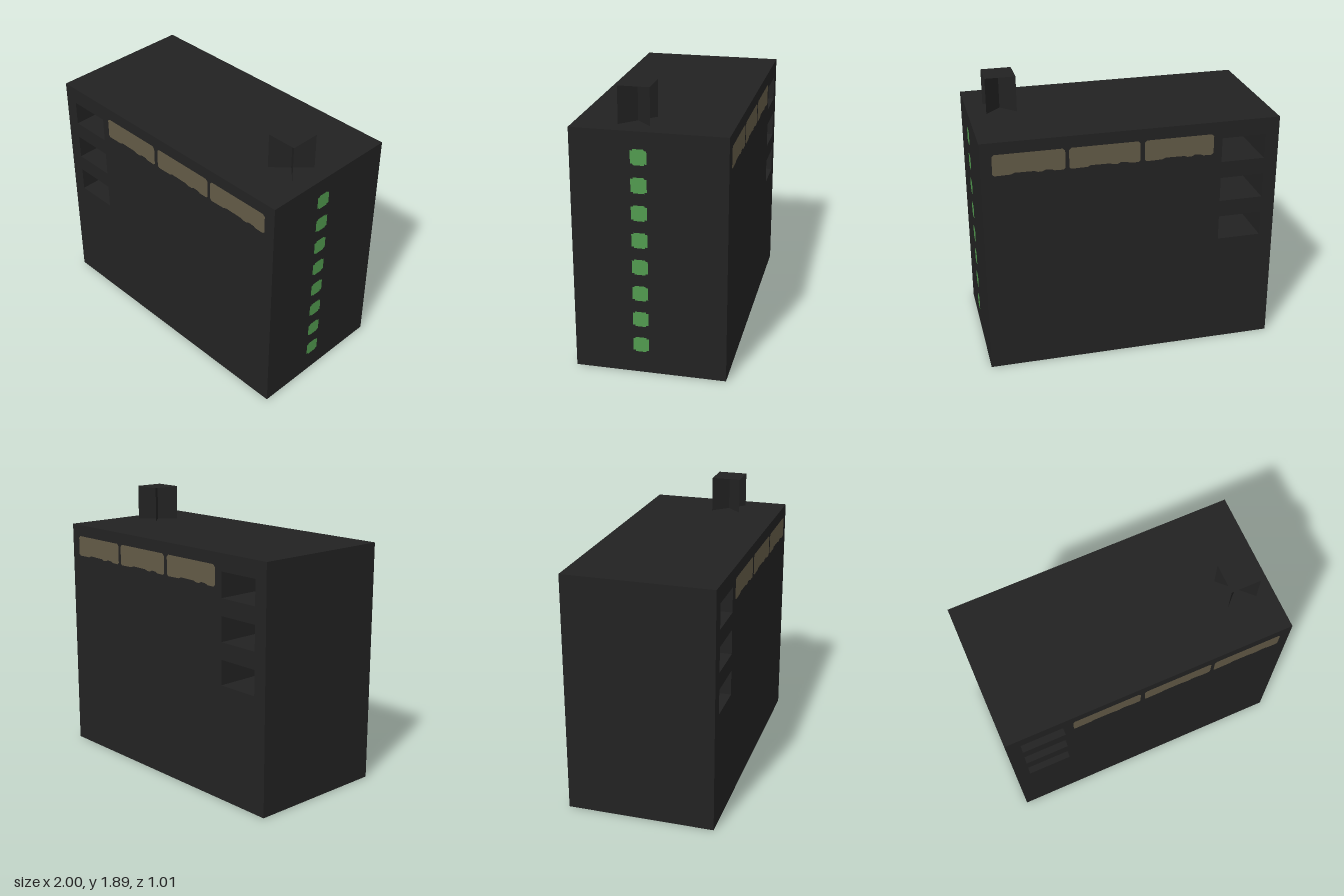
import * as THREE from 'three';

const mat = (name, color) => new THREE.MeshStandardMaterial({ name, color, side: THREE.DoubleSide });

export function createModel() {
  const model = new THREE.Group();
  model.name = 'building';
  const wall = mat('charcoal', 0x222222);
  const glass = mat('dimWindow', 0x625a46);
  const green = mat('greenLight', 0x519a4f);

  const X0 = -1, X1 = 0.996, H = 1.65, Z = 0.502;
  const W = X1 - X0, CX = (X0 + X1) / 2;

  const add = (name, geo, material, parent, x, y, z, rx = 0, ry = 0) => {
    const m = new THREE.Mesh(geo, material);
    m.name = name;
    m.position.set(x, y, z);
    m.rotation.set(rx, ry, 0);
    parent.add(m);
    return m;
  };
  const plane = (name, parent, w, h, ...place) =>
    add(name, new THREE.PlaneGeometry(w, h), wall, parent, ...place);
  const shapeOf = pts => new THREE.Shape(pts.map(p => new THREE.Vector2(...p)));
  const rect = (x0, x1, y0, y1) => [[x0, y0], [x1, y0], [x1, y1], [x0, y1]];

  // Shell, open underneath, with three openings running right through
  const shell = new THREE.Group();
  shell.name = 'shell';
  model.add(shell);
  const HX0 = -0.905, HX1 = -0.605, HH = 0.17;
  const floors = [0.79, 1.077, 1.363];
  const face = shapeOf(rect(X0, X1, 0, H));
  for (const y of floors) face.holes.push(new THREE.Path(rect(HX0, HX1, y, y + HH).map(p => new THREE.Vector2(...p))));
  const faceGeo = new THREE.ShapeGeometry(face);
  add('frontWall', faceGeo, wall, shell, 0, 0, Z);
  const backGeo = faceGeo.clone().scale(-1, 1, 1);
  // restore winding after mirroring, so the wall faces outward
  const idx = backGeo.index.array;
  for (let i = 0; i < idx.length; i += 3) [idx[i], idx[i + 1]] = [idx[i + 1], idx[i]];
  backGeo.computeVertexNormals();
  add('backWall', backGeo, wall, shell, 0, 0, -Z, 0, Math.PI);
  plane('roof', shell, W, 2 * Z, CX, H, 0, -Math.PI / 2);
  plane('leftWall', shell, 2 * Z, H, X1, H / 2, 0, 0, Math.PI / 2);
  plane('rightWall', shell, 2 * Z, H, X0, H / 2, 0, 0, -Math.PI / 2);

  // Linings of the openings
  const HW = HX1 - HX0, HC = (HX0 + HX1) / 2;
  for (const y of floors) {
    plane('openingFloor', shell, HW, 2 * Z, HC, y, 0, -Math.PI / 2);
    plane('openingCeiling', shell, HW, 2 * Z, HC, y + HH, 0, Math.PI / 2);
    plane('openingSide', shell, 2 * Z, HH, HX0, y + HH / 2, 0, 0, Math.PI / 2);
    plane('openingSide', shell, 2 * Z, HH, HX1, y + HH / 2, 0, 0, -Math.PI / 2);
  }

  // Long upper windows with ragged lower edges, on both faces
  const w = 0.47, t = 0.145;
  const pane = new THREE.ShapeGeometry(shapeOf([
    [0, 0.012], [0.012, 0], [0.12, 0.002], [0.14, 0.012], [0.27, 0.01], [0.29, 0.002],
    [0.32, 0.002], [0.34, 0.012], [0.38, 0.01], [0.4, 0.001], [0.458, 0], [w, 0.012],
    [w, t - 0.015], [w - 0.015, t], [0.015, t], [0, t - 0.015],
  ]));
  for (const x of [-0.545, -0.045, 0.45]) {
    add('frontWindow', pane, glass, model, x, 1.425, Z + 0.003);
    add('backWindow', pane, glass, model, x + w, 1.425, -Z - 0.003, 0, Math.PI);
  }

  // Column of small lights with notched corners on the left side
  const a = 0.052, b = 0.036, c = 0.043;
  const light = new THREE.ShapeGeometry(shapeOf([
    [-a, -c], [-b, -c], [-b, -a], [b, -a], [b, -c], [a, -c],
    [a, c], [b, c], [b, a], [-b, a], [-b, c], [-a, c],
  ]));
  for (let i = 0; i < 8; i++)
    add('sideLight', light, green, model, X1 + 0.004, 0.203 + i * 0.1834, 0.06, 0, Math.PI / 2);

  // Chimney: two crossed diagonal panels under a square cap
  const chimney = new THREE.Group();
  chimney.name = 'chimney';
  chimney.position.set(0.773, H, 0.117);
  model.add(chimney);
  const s = 0.205, h = 0.245;
  for (const r of [1, -1])
    plane('chimneyPanel', chimney, s * Math.SQRT2, h, 0, h / 2, 0, 0, r * Math.PI / 4);
  plane('chimneyCap', chimney, s, s, 0, h, 0, -Math.PI / 2);

  return model;
}
